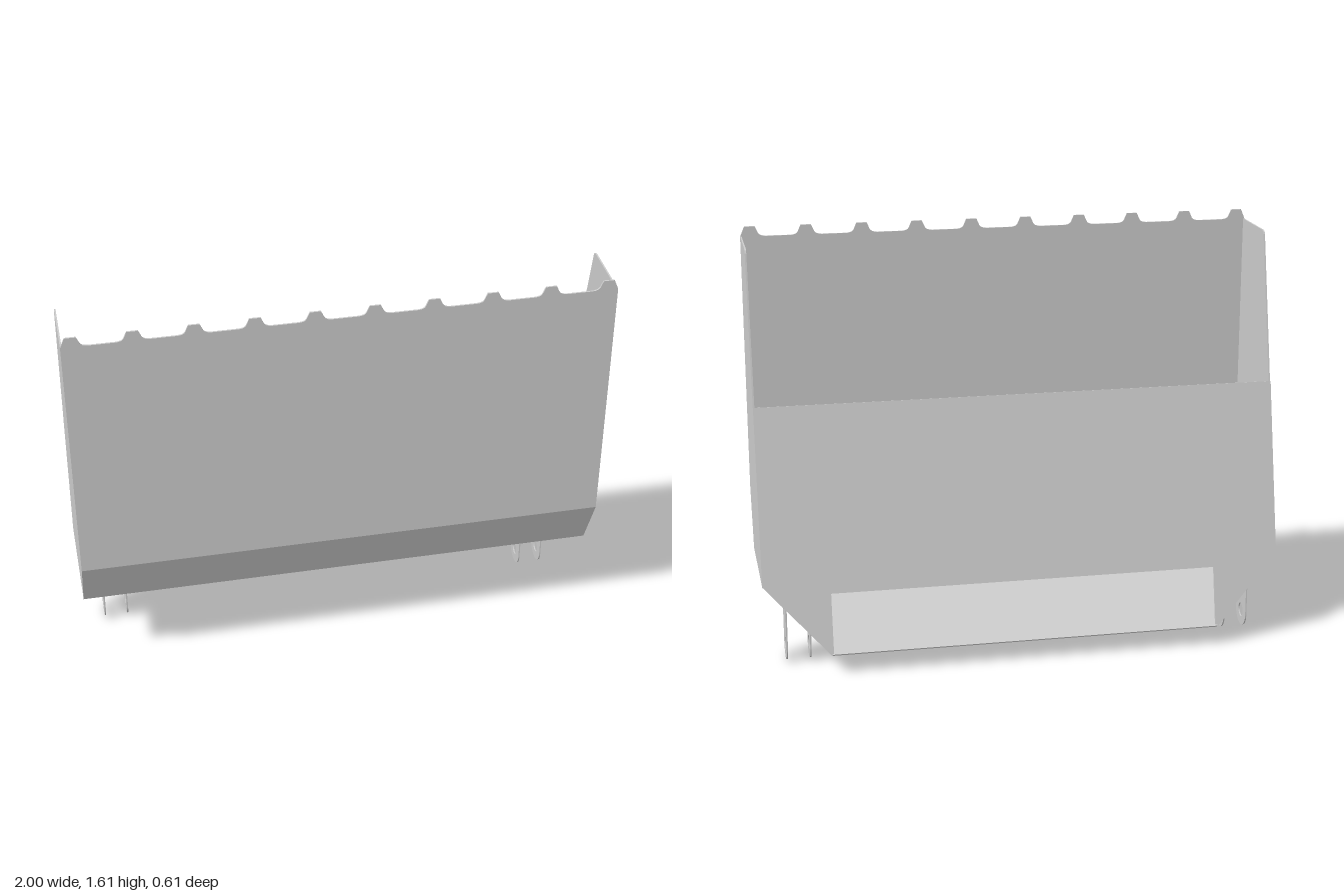
import * as THREE from 'three';

const T = 0.006; // sheet thickness

export function createModel() {
  const model = new THREE.Group();
  const steel = new THREE.MeshStandardMaterial({ color: 0xcccccc, flatShading: true, side: THREE.DoubleSide });
  const vec = (x, y, z) => new THREE.Vector3(x, y, z);
  const poly = (pts) => new THREE.Shape(pts.map(([a, b]) => new THREE.Vector2(a, b)));
  const disc = (a, b, r) => new THREE.Shape().absarc(a, b, r, 0, Math.PI * 2);

  // Sheet whose outline lies in the plane origin + a*u + b*v, thickened by t along u x v
  function plate(name, shape, origin, u, v, t = T, parent = model, segments = 4) {
    const geo = new THREE.ExtrudeGeometry(shape, { depth: 1, bevelEnabled: false, curveSegments: segments });
    const n = u.clone().cross(v).normalize().multiplyScalar(t);
    const m = new THREE.Matrix4().makeBasis(u, v, n).setPosition(origin);
    geo.applyMatrix4(m);
    if (m.determinant() < 0) { // restore outward winding after a reflection
      for (const key of ['position', 'normal', 'uv']) {
        const a = geo.getAttribute(key), k = a.itemSize;
        for (let i = 0; i < a.count; i += 3)
          for (let c = 0; c < k; c++) {
            const p = (i + 1) * k + c, q = (i + 2) * k + c;
            [a.array[p], a.array[q]] = [a.array[q], a.array[p]];
          }
      }
      geo.computeVertexNormals();
    }
    const mesh = new THREE.Mesh(geo, steel);
    mesh.name = name;
    parent.add(mesh);
    return mesh;
  }

  const X = vec(1, 0, 0), Y = vec(0, 1, 0), Z = vec(0, 0, 1);

  // Front panel with ten flared tabs along the top edge
  const front = new THREE.Shape();
  front.moveTo(-1, 0.57);
  front.lineTo(1, 0.57);
  front.lineTo(1, 1.567);
  for (let i = 9; i >= 0; i--) {
    const x = -0.964 + i * 0.2142;
    if (i < 9) {
      front.lineTo(x + 0.06, 1.567);
      front.quadraticCurveTo(x + 0.036, 1.568, x + 0.031, 1.58);
    }
    front.lineTo(x + 0.02, 1.605);
    front.lineTo(x - 0.02, 1.605);
    if (i > 0) {
      front.lineTo(x - 0.031, 1.58);
      front.quadraticCurveTo(x - 0.036, 1.568, x - 0.06, 1.567);
    }
  }
  front.lineTo(-1, 1.567);
  plate('frontPanel', front, vec(0, 0, 0.303), X, Y, -T);

  // Sloped lower front
  const kf = 0.103 / 0.225;
  plate('lowerFrontPanel', poly([[-1, 0.345], [1, 0.345], [1, 0.57], [-1, 0.57]]),
    vec(0, 0, 0.2 - 0.345 * kf), X, vec(0, 1, kf), -T);

  // Sloping floor, narrowing towards the back
  const kb = 0.503 / 0.27;
  const floorO = vec(0, 0, 0.2 - 0.345 * kb), floorV = vec(0, 1, kb);
  plate('floorPanel', poly([[-0.75, 0.075], [0.75, 0.075], [1, 0.345], [-1, 0.345]]), floorO, X, floorV, -T);

  // Back panel with the discharge slot
  plate('backPanel', poly([[-1, 1], [-1, 0.345], [-0.752, 0.075], [-0.745, 0.075], [-0.745, 0.305],
    [0.745, 0.305], [0.745, 0.075], [0.752, 0.075], [1, 0.345], [1, 1]]),
    vec(0, 0, -0.3195), X, vec(0, 1, 0.2195), 0.008);

  for (const s of [-1, 1]) {
    const side = new THREE.Group();
    side.name = s > 0 ? 'leftSide' : 'rightSide';
    model.add(side);

    // Side wall
    const wall = poly([[0.303, 0.57], [0.303, 1.567], [0.052, 1.567], [0.042, 1.564], [0.035, 1.553],
      [-0.092, 1], [-0.236, 0.345], [0.2, 0.345]]);
    plate('sideWall', wall, vec(s, 0, 0), Z, Y, s * T, side);

    // Triangular lower corner
    const kc = 0.25 / 0.27;
    const cornerO = vec(s * (1 - 0.345 * kc), 0, 0), cornerV = vec(s * kc, 1, 0);
    plate('cornerPanel', poly([[0.2, 0.345], [-0.24, 0.345], [-0.3, 0.075]]), cornerO, Z, cornerV, s * T, side);

    // Bolted reinforcement pads on the corner
    plate('cornerPad', poly([[0.003, 0.297], [-0.17, 0.297], [-0.226, 0.262], [-0.226, 0.2], [-0.19, 0.2],
      [-0.19, 0.24], [-0.175, 0.252], [-0.045, 0.252], [-0.03, 0.228], [0.003, 0.24]]),
      cornerO, Z, cornerV, -s * T, side);
    plate('rearPad', poly([[-0.195, 0.135], [-0.21, 0.145], [-0.232, 0.145], [-0.232, 0.12], [-0.215, 0.12]]),
      cornerO, Z, cornerV, -s * T, side);
    for (const [z, y] of [[-0.012, 0.282], [-0.06, 0.282], [-0.11, 0.282], [-0.16, 0.282],
      [-0.21, 0.253], [-0.21, 0.212], [-0.012, 0.248], [-0.22, 0.132]])
      plate('bolt', disc(z, y, 0.006), cornerO, Z, cornerV, -s * 0.011, side, 6);

    // Reinforcement pad under the floor
    plate('floorPad', poly([[0.817, 0.229], [0.75, 0.229], [0.75, 0.14], [0.775, 0.115], [0.785, 0.115],
      [0.812, 0.146]].map(([x, y]) => [s * x, y])), floorO, X, floorV, T, side);
    for (const [x, y] of [[0.762, 0.218], [0.762, 0.18], [0.762, 0.145], [0.78, 0.124]])
      plate('bolt', disc(s * x, y, 0.005), floorO, X, floorV, 0.011, side, 6);

    // Pair of pinned lugs, cut to meet the underside
    for (const [x, yFront, yBack] of [[0.82, 0.212, 0.147], [0.91, 0.248, 0.248]]) {
      const lug = new THREE.Shape();
      lug.moveTo(-0.05, yFront);
      lug.lineTo(-0.171, yBack);
      lug.lineTo(-0.171, 0.0605);
      lug.absarc(-0.1105, 0.0605, 0.0605, Math.PI, Math.PI * 2, false);
      lug.holes.push(new THREE.Path().absarc(-0.1105, 0.0605, 0.027, 0, Math.PI * 2, true));
      plate('lug', lug, vec(s * x + 0.0025, 0, 0), Z, Y, 0.005, side, 16);
    }
  }
  return model;
}
